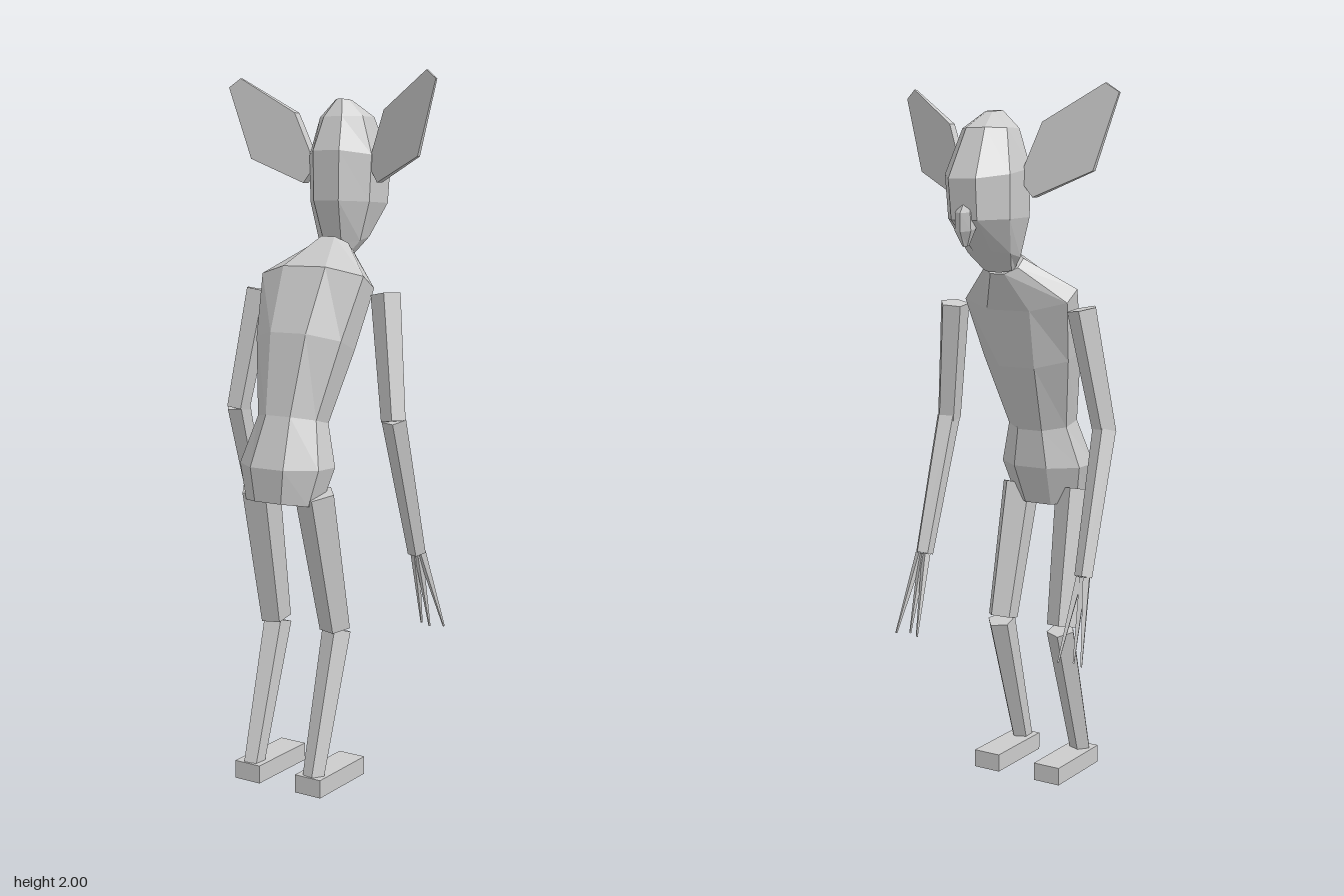
import * as THREE from 'three';

const skin = new THREE.MeshStandardMaterial({ color: 0xcccccc, flatShading: true });
skin.name = 'pale grey';

function add(parent, geometry, name) {
  const mesh = new THREE.Mesh(geometry, skin);
  mesh.name = name;
  parent.add(mesh);
  return mesh;
}

// Closed loft through tilted octagons, top to bottom.
// Each ring: [z at +z edge, y there, z at -z edge, y there, half width]
function loft(rings, sides = 8) {
  const k = Math.cos(Math.PI / sides);
  const point = ([zb, yb, zf, yf, w], i) => {
    const a = ((i + 0.5) / sides) * Math.PI * 2;
    const t = 0.5 + 0.5 * Math.sin(a) / k;
    return [w * Math.cos(a) / k, yf + (yb - yf) * t, zf + (zb - zf) * t];
  };
  const centre = ([zb, yb, zf, yf]) => [0, (yb + yf) / 2, (zb + zf) / 2];
  const pos = [];
  const last = rings[rings.length - 1];
  for (let i = 0; i < sides; i++) {
    pos.push(...centre(rings[0]), ...point(rings[0], i + 1), ...point(rings[0], i));
    for (let j = 0; j < rings.length - 1; j++) {
      const a = point(rings[j], i), b = point(rings[j], i + 1);
      const c = point(rings[j + 1], i), d = point(rings[j + 1], i + 1);
      pos.push(...a, ...b, ...c, ...b, ...d, ...c);
    }
    pos.push(...centre(last), ...point(last, i), ...point(last, i + 1));
  }
  const g = new THREE.BufferGeometry();
  g.setAttribute('position', new THREE.Float32BufferAttribute(pos, 3));
  g.computeVertexNormals();
  return g;
}

// Tapered five-sided limb between two points, mirrored across x by s
function limb(parent, name, s, from, to, r0, r1, sides = 5) {
  const a = new THREE.Vector3(s * from[0], from[1], from[2]);
  const b = new THREE.Vector3(s * to[0], to[1], to[2]);
  const dir = b.clone().sub(a);
  const g = new THREE.CylinderGeometry(r0, r1, dir.length(), sides, 1, false, s * 0.38);
  const mesh = add(parent, g, name);
  mesh.quaternion.setFromUnitVectors(new THREE.Vector3(0, 1, 0), dir.negate().normalize());
  mesh.position.copy(a).add(b).multiplyScalar(0.5);
}

// Flat ear blade, swept back and thinning towards the tip
function ear(parent, s) {
  const outline = [[0.09, 1.75], [0.125, 1.70], [0.28, 1.77], [0.345, 1.975], [0.31, 2.0], [0.15, 1.90]];
  const shape = new THREE.Shape(outline.map(([x, y]) => new THREE.Vector2(s * x, y)));
  const g = new THREE.ExtrudeGeometry(shape, { depth: 1, bevelEnabled: false });
  const p = g.attributes.position;
  for (let i = 0; i < p.count; i++) {
    const t = (Math.abs(p.getX(i)) - 0.09) / 0.255;
    p.setZ(i, -0.115 + 0.08 * t + (p.getZ(i) - 0.5) * (0.03 - 0.022 * t));
  }
  g.computeVertexNormals();
  add(parent, g, 'ear');
}

export function createModel() {
  const model = new THREE.Group();
  model.name = 'bigEaredCreature';

  // Stooped torso, from neck to hips
  add(model, loft([
    [-0.03, 1.55, -0.10, 1.49, 0.055],
    [0.09, 1.47, -0.045, 1.385, 0.17],
    [0.17, 1.29, 0.0, 1.22, 0.142],
    [0.22, 1.065, 0.072, 1.03, 0.098],
    [0.275, 0.925, 0.075, 0.92, 0.132],
    [0.27, 0.83, 0.12, 0.805, 0.105],
  ]), 'torso');

  // Head
  add(model, loft([
    [-0.09, 1.935, -0.135, 1.93, 0.022],
    [-0.055, 1.885, -0.205, 1.885, 0.072],
    [-0.02, 1.79, -0.272, 1.75, 0.105],
    [-0.02, 1.65, -0.262, 1.64, 0.1],
    [-0.055, 1.53, -0.175, 1.555, 0.07],
    [-0.065, 1.51, -0.11, 1.495, 0.045],
  ]), 'head');

  // Drooping nose
  add(model, loft([
    [-0.24, 1.69, -0.262, 1.685, 0.012],
    [-0.235, 1.665, -0.277, 1.66, 0.024],
    [-0.235, 1.62, -0.277, 1.61, 0.026],
    [-0.245, 1.575, -0.262, 1.57, 0.008],
  ], 6), 'nose');

  for (const s of [1, -1]) {
    const side = s > 0 ? 'left' : 'right';
    ear(model, s);

    // Arm with three thin fingers
    const arm = new THREE.Group();
    arm.name = side + 'Arm';
    model.add(arm);
    limb(arm, 'upperArm', s, [0.215, 1.395, 0.003], [0.267, 1.05, 0.045], 0.044, 0.036);
    limb(arm, 'forearm', s, [0.267, 1.055, 0.042], [0.272, 0.66, -0.08], 0.036, 0.027);
    for (const [x, z] of [[0.24, -0.165], [0.278, -0.145], [0.314, -0.165]]) {
      limb(arm, 'finger', s, [0.272 + (x - 0.277) * 0.3, 0.66, -0.085], [x, 0.43, z], 0.013, 0.003, 4);
    }

    // Bent leg on a flat foot
    const leg = new THREE.Group();
    leg.name = side + 'Leg';
    model.add(leg);
    limb(leg, 'thigh', s, [0.095, 0.85, 0.175], [0.105, 0.455, 0.088], 0.058, 0.046);
    limb(leg, 'shin', s, [0.105, 0.445, 0.08], [0.105, 0.045, 0.2], 0.043, 0.032);
    const foot = add(leg, new THREE.BoxGeometry(0.085, 0.052, 0.232), 'foot');
    foot.position.set(s * 0.104, 0.026, 0.115);
  }
  return model;
}
